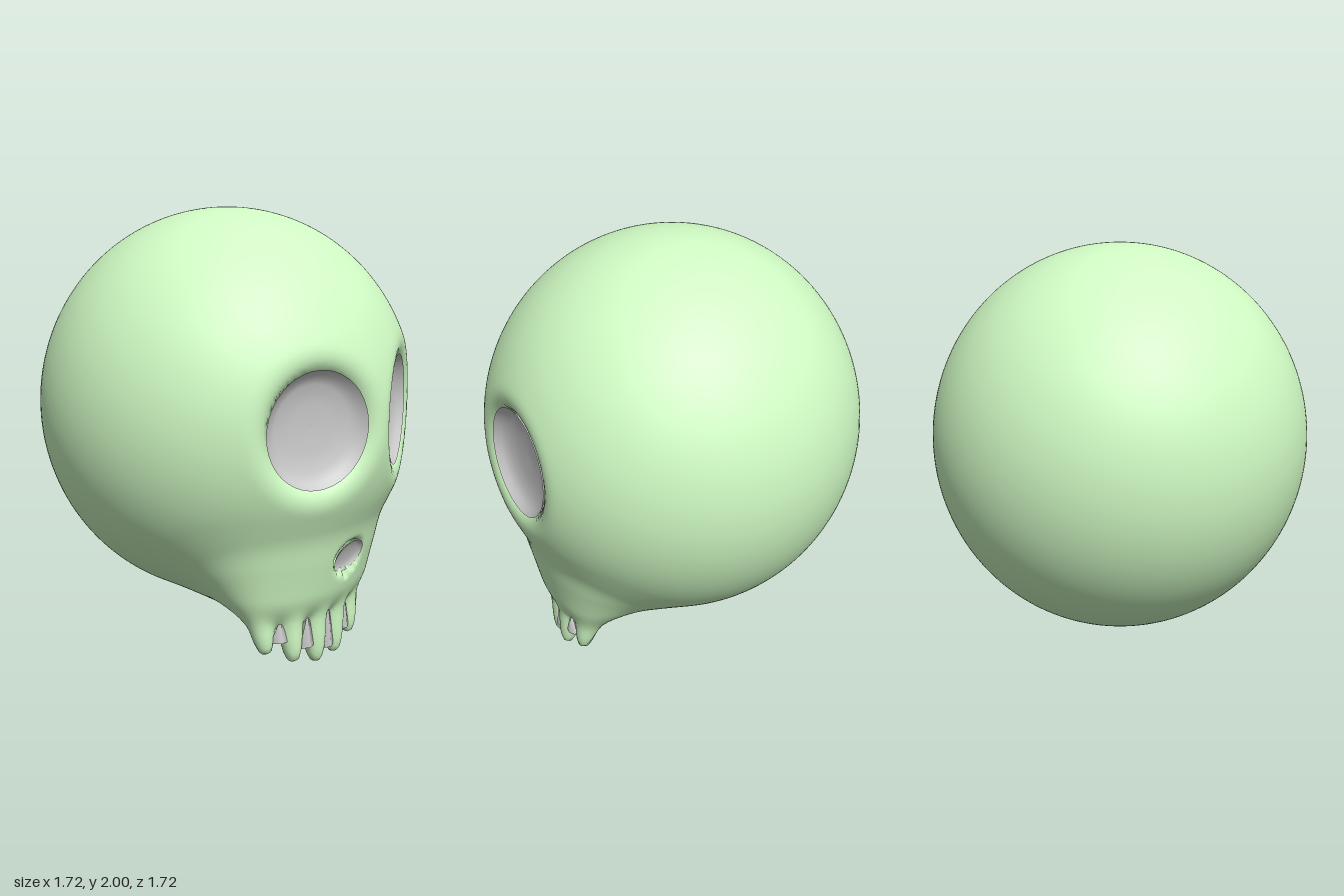
import * as THREE from 'three';
import { mergeVertices } from 'three/addons/utils/BufferGeometryUtils.js';

const CENTRE = new THREE.Vector3(0, 1.115, 0);
const RADIUS = 0.86, RADIUS_Y = 0.885;
const { clamp, lerp, smoothstep } = THREE.MathUtils;

// Teeth: [tip, root], mirrored across x, listed from right to left
const half = [
  { tip: [0.07, 0.035, 0.57], root: [0.075, 0.48, 0.525] },
  { tip: [0.215, 0.077, 0.55], root: [0.21, 0.48, 0.485] },
  { tip: [0.33, 0.13, 0.485], root: [0.335, 0.48, 0.4] },
];
const flip = ([x, y, z]) => [-x, y, z];
const teeth = [
  ...half.map((t) => ({ tip: flip(t.tip), root: flip(t.root) })).reverse(),
  ...half,
].map((t) => ({ tip: new THREE.Vector3(...t.tip), root: new THREE.Vector3(...t.root) }));

// Smooth union and smooth intersection of distances
const smin = (a, b, k) => Math.min(a, b) - Math.max(k - Math.abs(a - b), 0) ** 2 / (4 * k);
const smax = (a, b, k) => -smin(-a, -b, k);

// Distance to a tooth that tapers from root to tip
const axis = new THREE.Vector3(), rel = new THREE.Vector3();
function toothDistance(p, { tip, root }) {
  axis.subVectors(tip, root);
  rel.subVectors(p, root);
  const t = clamp(rel.dot(axis) / axis.lengthSq(), 0, 1);
  return rel.addScaledVector(axis, -t).length() - (0.034 + 0.05 * (1 - t) ** 0.6);
}

// Cranium, jaw and teeth; the teeth melt together towards their roots
function solid(p) {
  const cranium = Math.hypot(p.x, (p.y - CENTRE.y) * RADIUS / RADIUS_Y, p.z) - RADIUS;
  const jaw = (Math.hypot(p.x / 0.33, (p.y - 0.45) / 0.24, (p.z - 0.36) / 0.21) - 1) * 0.21;
  const melt = smoothstep(p.y, 0.13, 0.36);
  let row = 1;
  for (const t of teeth) row = smin(row, toothDistance(p, t), lerp(0.015, 0.13, melt));
  return smin(smin(cranium, jaw, 0.27), row, lerp(0.07, 0.18, melt));
}

// Outermost surface point along a ray from the centre of the cranium
const probe = new THREE.Vector3();
function surfaceRadius(dir, field) {
  const at = (r) => field(probe.copy(CENTRE).addScaledVector(dir, r));
  let r = 1.45;
  while (r > 0.45 && at(r) > 0) r -= 0.015;
  let lo = r, hi = r + 0.015;
  for (let i = 0; i < 10; i++) {
    const mid = (lo + hi) / 2;
    if (at(mid) > 0) hi = mid; else lo = mid;
  }
  return lo;
}

// An opening: its frame, cutter size, lining depth and rim softness
function opening(name, pos, yaw, pitch, rx, ry, depth, soft) {
  const frame = new THREE.Object3D();
  frame.position.copy(pos);
  frame.rotation.set(pitch, yaw, 0, 'YXZ');
  frame.updateMatrix();
  return { name, frame, inverse: frame.matrix.clone().invert(), rx, ry, depth, soft };
}

const noseDir = new THREE.Vector3(0, -0.59, 0.665).normalize();
const nosePos = CENTRE.clone().addScaledVector(noseDir, surfaceRadius(noseDir, solid) - 0.01);
const EYE = 0.395;
const openings = [
  ...[-1, 1].map((s) => opening(s < 0 ? 'rightEyeSocket' : 'leftEyeSocket',
    new THREE.Vector3(s * 0.79 * Math.sin(EYE), 1.115, 0.79 * Math.cos(EYE)),
    s * EYE, 0, 0.222, 0.226, 0.065, 0.13)),
  opening('noseHole', nosePos, 0, 0.35, 0.098, 0.074, 0.02, 0.03),
];

// Openings are cut as cones that narrow inwards
const local = new THREE.Vector3();
function skullField(p) {
  let d = solid(p);
  for (const o of openings) {
    local.copy(p).applyMatrix4(o.inverse);
    if (local.z < -0.4) continue;
    const flare = 1 + (0.3 * local.z) / o.rx;
    const side = (Math.hypot(local.x / o.rx, local.y / o.ry) - flare) * o.ry;
    d = smax(d, -Math.max(side, -local.z - o.depth * 2.5), o.soft);
  }
  return d;
}

// Sphere pushed out to the blended form, with rows and columns packed near the face
function skullGeometry() {
  const geo = new THREE.SphereGeometry(1, 220, 150);
  const { position, uv } = geo.attributes;
  const dir = new THREE.Vector3();
  for (let i = 0; i < position.count; i++) {
    const u = (uv.getX(i) * 2 - 1) * Math.PI;
    const yaw = u - 0.6 * Math.sin(u);
    const polar = Math.PI * (1 - uv.getY(i) ** 1.35);
    dir.set(Math.sin(yaw) * Math.sin(polar), Math.cos(polar), Math.cos(yaw) * Math.sin(polar));
    const r = surfaceRadius(dir, skullField);
    position.setXYZ(i, dir.x * r, CENTRE.y + dir.y * r, dir.z * r);
  }
  geo.deleteAttribute('uv');
  geo.deleteAttribute('normal');
  const merged = mergeVertices(geo, 1e-4);
  merged.computeVertexNormals();
  return merged;
}

// Shallow bowl facing +z: unit radius, unit depth
function bowlGeometry() {
  const profile = [[0, -1], [0.4, -0.96], [0.74, -0.78], [0.9, -0.4], [1, 0]];
  const geo = new THREE.LatheGeometry(profile.map(([r, z]) => new THREE.Vector2(r, z)), 40);
  return geo.rotateX(Math.PI / 2);
}

export function createModel() {
  const group = new THREE.Group();
  group.name = 'skull';
  const green = new THREE.MeshStandardMaterial({ color: 0xd0fbc4 });
  const grey = new THREE.MeshStandardMaterial({ color: 0xcccccc, side: THREE.DoubleSide });

  const skull = new THREE.Mesh(skullGeometry(), green);
  skull.name = 'craniumAndJaw';
  group.add(skull);

  // Linings of the eye sockets and nose
  const bowl = bowlGeometry();
  for (const o of openings) {
    const lining = new THREE.Mesh(bowl, grey);
    const rim = o.soft * 0.17;
    lining.name = o.name;
    lining.position.copy(o.frame.position);
    lining.quaternion.copy(o.frame.quaternion);
    lining.scale.set(o.rx + rim, o.ry + rim, o.depth);
    group.add(lining);
  }

  // Grey wedges set in the gaps between teeth
  const wedge = new THREE.ConeGeometry(1, 1, 4, 1);
  for (let i = 0; i < teeth.length - 1; i++) {
    const a = teeth[i].tip, b = teeth[i + 1].tip;
    const base = Math.max(a.y, b.y) + 0.02, top = 0.26;
    const turn = Math.atan2(a.z - b.z, b.x - a.x);
    const gap = new THREE.Mesh(wedge, grey);
    gap.name = 'toothGap';
    gap.position.set(
      (a.x + b.x) / 2 + 0.02 * Math.sin(turn),
      (base + top) / 2,
      (a.z + b.z) / 2 + 0.02 * Math.cos(turn),
    );
    gap.rotation.y = turn;
    gap.scale.set(0.05, top - base, 0.02);
    group.add(gap);
  }

  // The face looks out between the front and the left
  group.rotation.y = Math.PI / 4;
  return group;
}
